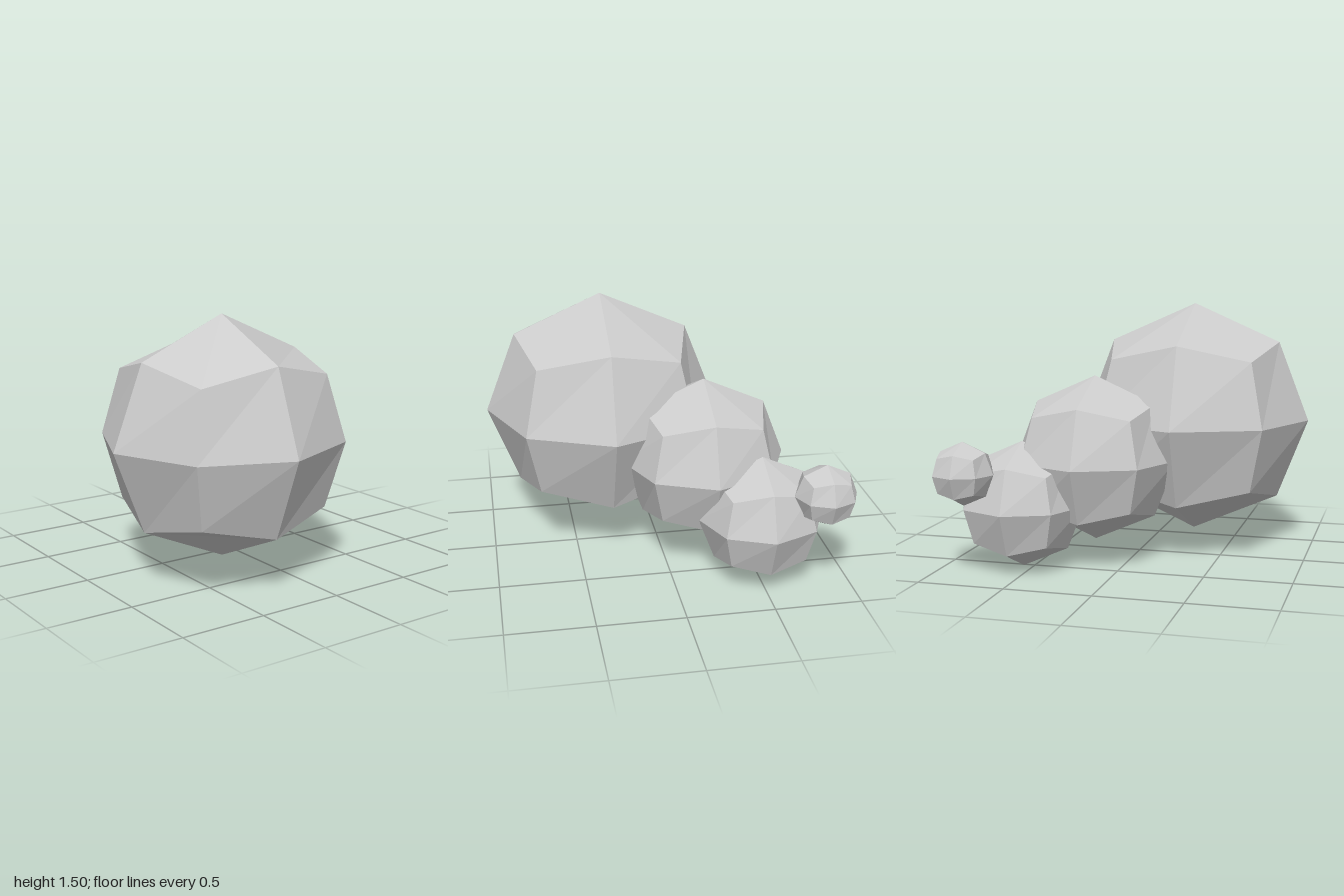
import * as THREE from 'three';

const material = new THREE.MeshStandardMaterial({ color: 0xcccccc, flatShading: true });

// Low-poly ball: a slightly flat, subdivided box pushed out onto a sphere
function ball(name, radius, x, y, z) {
  const geometry = new THREE.BoxGeometry(1, 0.91, 1, 2, 2, 2);
  const position = geometry.attributes.position;
  const v = new THREE.Vector3();
  for (let i = 0; i < position.count; i++) {
    v.fromBufferAttribute(position, i).setLength(radius);
    position.setXYZ(i, v.x, v.y, v.z);
  }
  geometry.computeVertexNormals();
  const mesh = new THREE.Mesh(geometry, material);
  mesh.name = name;
  mesh.position.set(x, y, z);
  return mesh;
}

export function createModel() {
  const model = new THREE.Group();
  model.name = 'ballChain';
  // Overlapping balls, shrinking towards the back left
  model.add(
    ball('largeBall', 0.703, -0.275, 0.795, 0.297),
    ball('mediumBall', 0.487, 0.206, 0.605, -0.243),
    ball('smallBall', 0.366, 0.562, 0.366, -0.515),
    ball('tipBall', 0.18, 0.797, 0.584, -0.82),
  );
  return model;
}
